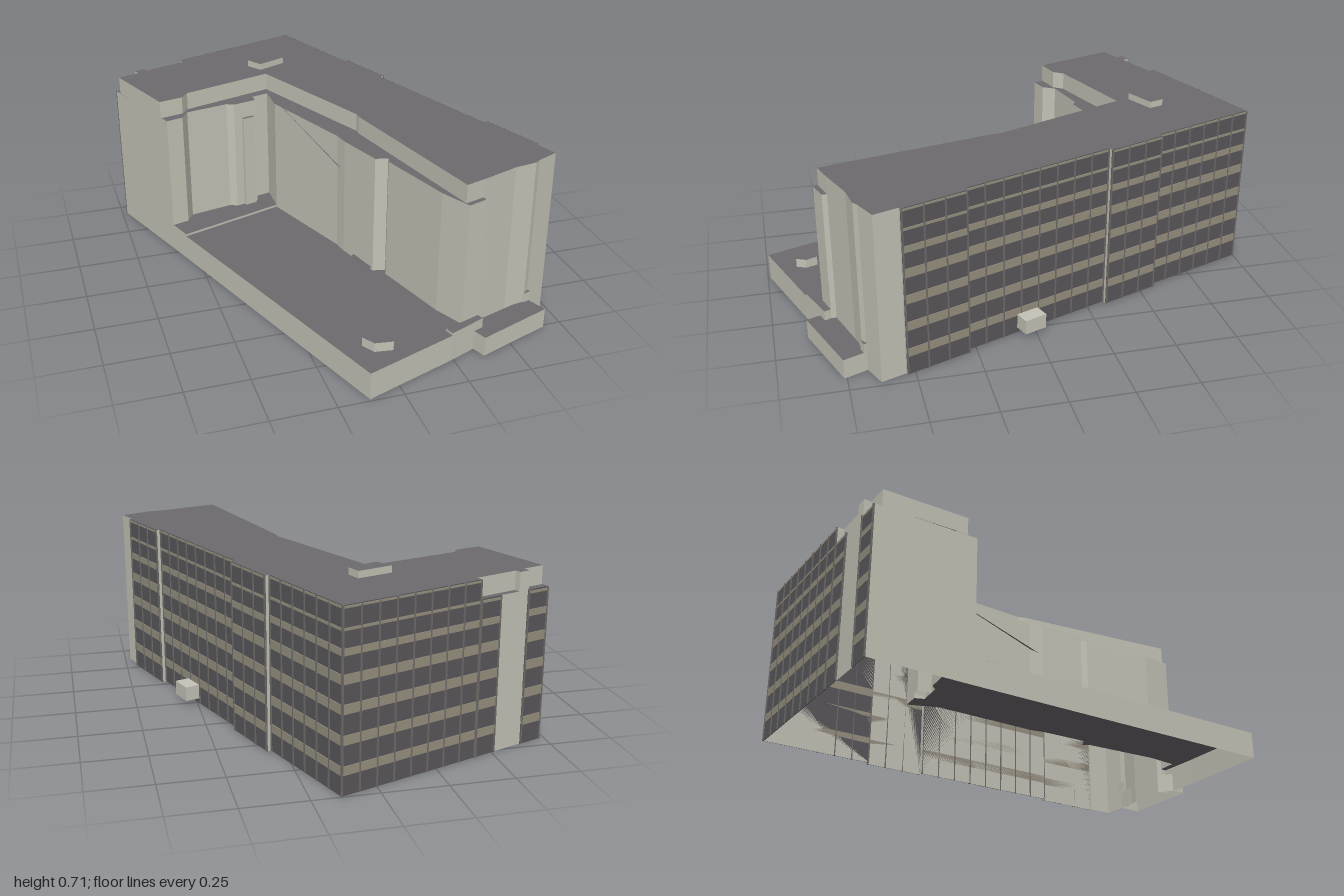
import * as THREE from 'three';
import { mergeGeometries } from 'three/addons/utils/BufferGeometryUtils.js';

const TURN = 0.342; // the whole block stands at an angle to the axes
const material = (color) => new THREE.MeshStandardMaterial({ color, side: THREE.DoubleSide, flatShading: true });
const STONE = material(0xc4c3b6);
const ROOF = material(0x6e6a6e);
const GLASS = material(0x59575a);
const BAND = material(0x96907f);
const FRAME = material(0x6f6c6a);

// Block coordinates (u across, v along) to plan coordinates [x, z]
const w = (u, v) => [
  u * Math.cos(TURN) + v * Math.sin(TURN),
  -u * Math.sin(TURN) + v * Math.cos(TURN),
];

function add(parent, name, geometry, mat) {
  const mesh = new THREE.Mesh(geometry, mat);
  mesh.name = name;
  parent.add(mesh);
  return mesh;
}

// Upright wall along a plan path (clockwise from above = facing outward)
function wall(parent, name, path, y0, y1, closed = false) {
  const pos = [];
  const n = closed ? path.length : path.length - 1;
  for (let i = 0; i < n; i++) {
    const [ax, az] = path[i];
    const [bx, bz] = path[(i + 1) % path.length];
    pos.push(bx, y0, bz, ax, y0, az, ax, y1, az);
    pos.push(bx, y0, bz, ax, y1, az, bx, y1, bz);
  }
  const g = new THREE.BufferGeometry();
  g.setAttribute('position', new THREE.Float32BufferAttribute(pos, 3));
  g.computeVertexNormals();
  add(parent, name, g, STONE);
}

// Flat roof or deck over a plan outline
function deck(parent, name, path, y) {
  const shape = new THREE.Shape(path.map(([x, z]) => new THREE.Vector2(x, -z)));
  add(parent, name, new THREE.ShapeGeometry(shape).rotateX(-Math.PI / 2).translate(0, y, 0), ROOF);
}

function block(parent, name, path, y0, y1) {
  const group = new THREE.Group();
  group.name = name;
  wall(group, name + 'Walls', path, y0, y1, true);
  deck(group, name + 'Top', path, y1);
  parent.add(group);
}

// Window wall: glass, horizontal bands and slim mullions, facing local +z
function facade(parent, name, length, height, u, v, rotation) {
  const group = new THREE.Group();
  group.name = name;
  const box = (sx, sy, sz, x, y) => new THREE.BoxGeometry(sx, sy, sz).translate(x, y, sz / 2);
  add(group, name + 'Glass', box(length, height, 0.002, 0, height / 2), GLASS);
  const bands = [[0.094, 0.034], [0.206, 0.036], [0.318, 0.036], [0.425, 0.036], [0.521, 0.026], [0.6, 0.01], [0.676, 0.008]]
    .filter(([y]) => y < height)
    .map(([y, h]) => box(length, h, 0.005, 0, y));
  add(group, name + 'Bands', mergeGeometries(bands), BAND);
  const count = Math.max(1, Math.round(length / 0.078));
  const mullions = [];
  for (let i = 0; i <= count; i++) {
    mullions.push(box(0.006, height, 0.006, (i / count - 0.5) * (length - 0.006), height / 2));
  }
  add(group, name + 'Mullions', mergeGeometries(mullions), FRAME);
  group.position.set(u, 0, v);
  group.rotation.y = rotation;
  parent.add(group);
}

function slopedPanel(parent, name, a, b, c, d) {
  const g = new THREE.BufferGeometry();
  g.setAttribute('position', new THREE.Float32BufferAttribute([a, b, c, a, c, d].flat(), 3));
  g.computeVertexNormals();
  add(parent, name, g, ROOF);
}

export function createModel() {
  const model = new THREE.Group();
  model.name = 'officeBlock';

  // Street side with two shallow bays, then the front end
  const street = [
    w(0.465, -0.89), w(0.465, -0.427), w(0.483, -0.427), w(0.483, -0.177), w(0.465, -0.177),
    w(0.465, 0.468), w(0.483, 0.468), w(0.483, 0.737), w(0.475, 0.737), w(0.475, 0.838),
    [0.64, 0.67], [0.62, 0.685], [0.53, 0.7], [0.38, 0.755],
  ];
  // Courtyard side of the lower floors
  const court = [
    [0.38, 0.775], [0.305, 0.8], [0.25, 0.68], [0.16, 0.37], [0.17, 0.34], [0.12, 0.33],
    [0.06, 0.14], [0.05, 0.08], [-0.1, -0.33], [-0.1, -0.46], [-0.17, -0.44], [-0.17, -0.4],
    [-0.27, -0.375], [-0.3, -0.39], [-0.48, -0.35], [-0.51, -0.3], [-0.58, -0.28],
  ];
  const backLeft = w(-0.457, -0.89);

  // Lower floors
  wall(model, 'outerWalls', [court.at(-1), backLeft, ...street, court[0]], 0, 0.61);
  wall(model, 'courtyardWalls', court, 0.11, 0.61);
  deck(model, 'terrace', [backLeft, ...street, ...court], 0.61);

  // Set-back top floor
  block(model, 'topFloor', [
    w(-0.455, -0.86), w(-0.36, -0.86), w(-0.36, -0.89), w(-0.315, -0.89), w(-0.315, -0.865),
    w(-0.13, -0.865), w(-0.13, -0.89), ...street,
    [0.3, 0.78], [0.14, 0.08], [0.14, 0.05], [-0.09, -0.51], [-0.47, -0.385], [-0.5, -0.345], [-0.598, -0.32],
  ], 0.61, 0.683);

  // Window walls
  const windows = new THREE.Group();
  windows.name = 'windowWalls';
  windows.rotation.y = TURN;
  model.add(windows);
  const runs = [[-0.895, -0.427, 0.465], [-0.427, -0.177, 0.483], [-0.177, 0.468, 0.465], [0.468, 0.737, 0.483]];
  runs.forEach(([a, b, u], i) => facade(windows, 'streetFacade' + (i + 1), b - a, 0.683, u, (a + b) / 2, Math.PI / 2));
  const backRuns = [[-0.13, 0.47, 0.683], [-0.226, -0.13, 0.61], [-0.457, -0.357, 0.61]];
  backRuns.forEach(([a, b, h], i) => facade(windows, 'backFacade' + (i + 1), b - a, h, (a + b) / 2, -0.89, Math.PI));

  // Entrance canopy
  add(windows, 'entranceCanopy', new THREE.BoxGeometry(0.06, 0.06, 0.095).translate(0.5, 0.054, 0.197), STONE);

  // Podium, open underneath
  const podiumFront = [[0.39, 0.8], [0.24, 0.86], [-0.127, 0.99]];
  wall(model, 'podiumWalls', [court[0], ...podiumFront, court.at(-1)], 0, 0.11);
  deck(model, 'podiumDeck', [...podiumFront, ...court.slice().reverse()], 0.11);

  // Raised plinths at the foot of the wings
  block(model, 'wingPlinth', [
    [-0.1, -0.33], [-0.545, -0.18], ...court.slice(9).reverse(),
  ], 0.11, 0.12);
  block(model, 'frontPlinth', [[0.38, 0.775], [0.39, 0.8], [0.24, 0.86], [0.23, 0.82], [0.305, 0.8]], 0.11, 0.12);

  // Low porch at the front end
  block(model, 'frontPorch', [[0.64, 0.67], [0.675, 0.76], [0.37, 0.87], [0.35, 0.815], [0.38, 0.755]], 0, 0.08);
  block(model, 'porchVent', [[0.61, 0.67], [0.64, 0.66], [0.65, 0.68], [0.62, 0.69]], 0.08, 0.12);

  // Plant boxes on the roof and the deck
  block(model, 'roofPlant', [[-0.14, -0.63], [0, -0.68], [0.02, -0.62], [-0.1, -0.565]], 0.68, 0.71);
  block(model, 'deckPlant', [[-0.1, 0.82], [0, 0.795], [0.018, 0.84], [0, 0.88], [-0.07, 0.87]], 0.11, 0.147);

  // Courtyard pier and sloping panels
  block(model, 'courtyardPier', [[-0.25, -0.44], [-0.21, -0.45], [-0.18, -0.385], [-0.23, -0.37]], 0.11, 0.54);
  slopedPanel(model, 'upperSlopedPanel', [-0.08, -0.0 + 0.61, -0.27], [-0.04, 0.635, -0.25], [0.055, 0.49, 0.05], [0.06, 0.47, 0.13]);
  slopedPanel(model, 'lowerSlopedPanel', [0.07, 0.112, 0.2], [0.1, 0.15, 0.22], [0.122, 0.13, 0.32], [0.11, 0.112, 0.32]);

  return model;
}
